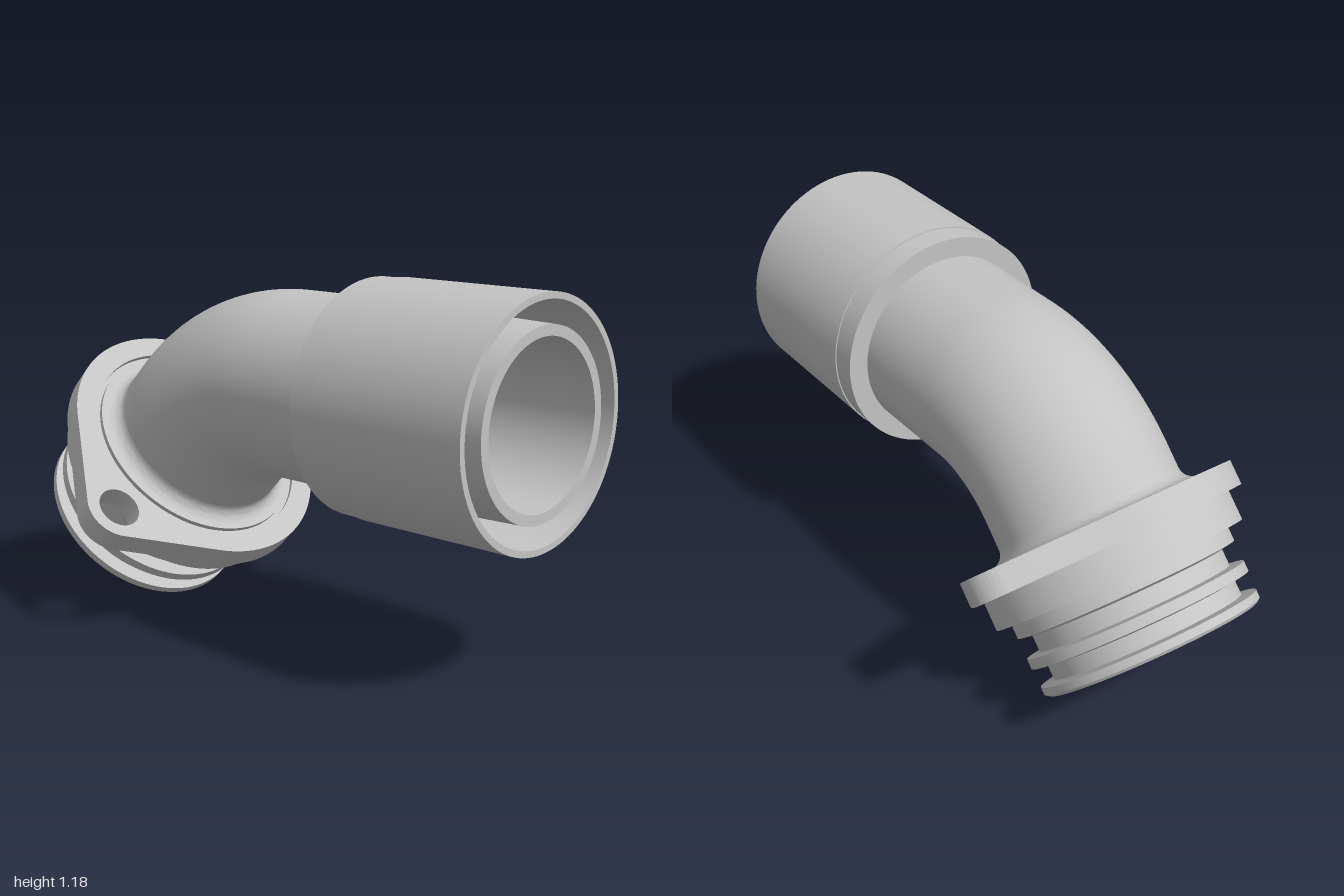
import * as THREE from 'three';
import { toCreasedNormals } from 'three/addons/utils/BufferGeometryUtils.js';

const AXIS_Y = 0.82;                               // height of the straight pipe
const FLANGE = new THREE.Vector3(-0.445, 0.56, 0); // centre of the flange's upper face
const BORE = 0.2525, PIPE = 0.305;

// Bent centre line: straight, 45 degree arc, straight along the flange axis
class ElbowCurve extends THREE.Curve {
  constructor(xStart, depth) {
    super();
    this.x0 = xStart;
    this.bend = 0.05;
    this.R = 0.567;
    const k = Math.SQRT1_2;
    this.arcEnd = new THREE.Vector2(this.bend - this.R * k, AXIS_Y - this.R * (1 - k));
    this.l1 = xStart - this.bend;
    this.l2 = this.R * Math.PI / 4;
    this.l3 = (this.arcEnd.x - FLANGE.x) / k + depth;
  }
  getPoint(t, target = new THREE.Vector3()) {
    const s = t * (this.l1 + this.l2 + this.l3);
    if (s <= this.l1) return target.set(this.x0 - s, AXIS_Y, 0);
    if (s <= this.l1 + this.l2) {
      const a = (s - this.l1) / this.R;
      return target.set(this.bend - this.R * Math.sin(a), AXIS_Y - this.R * (1 - Math.cos(a)), 0);
    }
    const d = (s - this.l1 - this.l2) * Math.SQRT1_2;
    return target.set(this.arcEnd.x - d, this.arcEnd.y - d, 0);
  }
}

// Turned part from [radius, height] pairs, with sharp edges kept
function turned(profile) {
  const pts = profile.map(([r, y]) => new THREE.Vector2(r, y));
  return toCreasedNormals(new THREE.LatheGeometry(pts, 96), 0.5);
}

// Two-eared plate: hull of a central disc and two lobes, with holes
function flangeGeometry() {
  const lobe = new THREE.Vector2(0.184, -0.46);
  const big = 0.457, small = 0.112, thick = 0.08;
  const dir = lobe.angle();
  const spread = Math.acos((big - small) / lobe.length());
  const shape = new THREE.Shape();
  for (const side of [0, Math.PI]) {
    const a = dir + side, sign = side ? -1 : 1;
    shape.absarc(lobe.x * sign, lobe.y * sign, small, a - spread, a + spread, false);
    shape.absarc(0, 0, big, a + spread, a + Math.PI - spread, false);
  }
  const hole = (x, y, r) => shape.holes.push(new THREE.Path().absarc(x, y, r, 0, Math.PI * 2, true));
  hole(0, 0, 0.38);
  hole(lobe.x, lobe.y, 0.07);
  hole(-lobe.x, -lobe.y, 0.07);
  const g = new THREE.ExtrudeGeometry(shape, { depth: thick, bevelEnabled: false, curveSegments: 40 });
  g.rotateX(-Math.PI / 2).translate(0, -thick, 0);
  return toCreasedNormals(g, 0.5);
}

export function createModel() {
  const model = new THREE.Group();
  const grey = new THREE.MeshStandardMaterial({ color: 0xc4c4c4, side: THREE.DoubleSide });
  grey.name = 'light grey';
  const add = (parent, name, geometry) => {
    const mesh = new THREE.Mesh(geometry, grey);
    mesh.name = name;
    parent.add(mesh);
    return mesh;
  };

  // Pipe wall and bore
  add(model, 'elbowPipe', new THREE.TubeGeometry(new ElbowCurve(0.38, 0.02), 72, PIPE, 96));
  add(model, 'bore', new THREE.TubeGeometry(new ElbowCurve(1, 0.424), 110, BORE, 96));

  // Socket with an annular recess in its open end
  const socket = add(model, 'socket', turned([
    [PIPE, 0.37], [0.371, 0.37], [0.371, 0.455], [0.375, 0.455], [0.375, 1],
    [0.355, 1], [0.33, 0.5], [0.3, 0.5], [0.285, 1], [BORE, 1],
  ]));
  socket.position.y = AXIS_Y;
  socket.rotation.z = -Math.PI / 2;

  // Tilted mounting end
  const mount = new THREE.Group();
  mount.name = 'mountingEnd';
  mount.position.copy(FLANGE);
  mount.rotation.z = -Math.PI / 4;
  model.add(mount);
  add(mount, 'flange', flangeGeometry());

  // Stepped spigot with seal grooves, closing with a fillet onto the pipe
  const profile = [
    [BORE, -0.424], [0.35, -0.424], [0.362, -0.415], [0.362, -0.39],
    [0.315, -0.385], [0.315, -0.335], [0.365, -0.328], [0.365, -0.295],
    [0.32, -0.29], [0.32, -0.235], [0.365, -0.227], [0.365, -0.178],
    [0.414, -0.178], [0.414, -0.08], [0.38, -0.08], [0.38, -0.015],
    [0.366, -0.015], [0.366, 0],
  ];
  const fillet = 0.045;
  for (let i = 0; i <= 8; i++) {
    const a = (i / 8) * Math.PI / 2;
    profile.push([PIPE + fillet * (1 - Math.sin(a)), fillet * (1 - Math.cos(a))]);
  }
  add(mount, 'spigot', turned(profile));

  return model;
}
